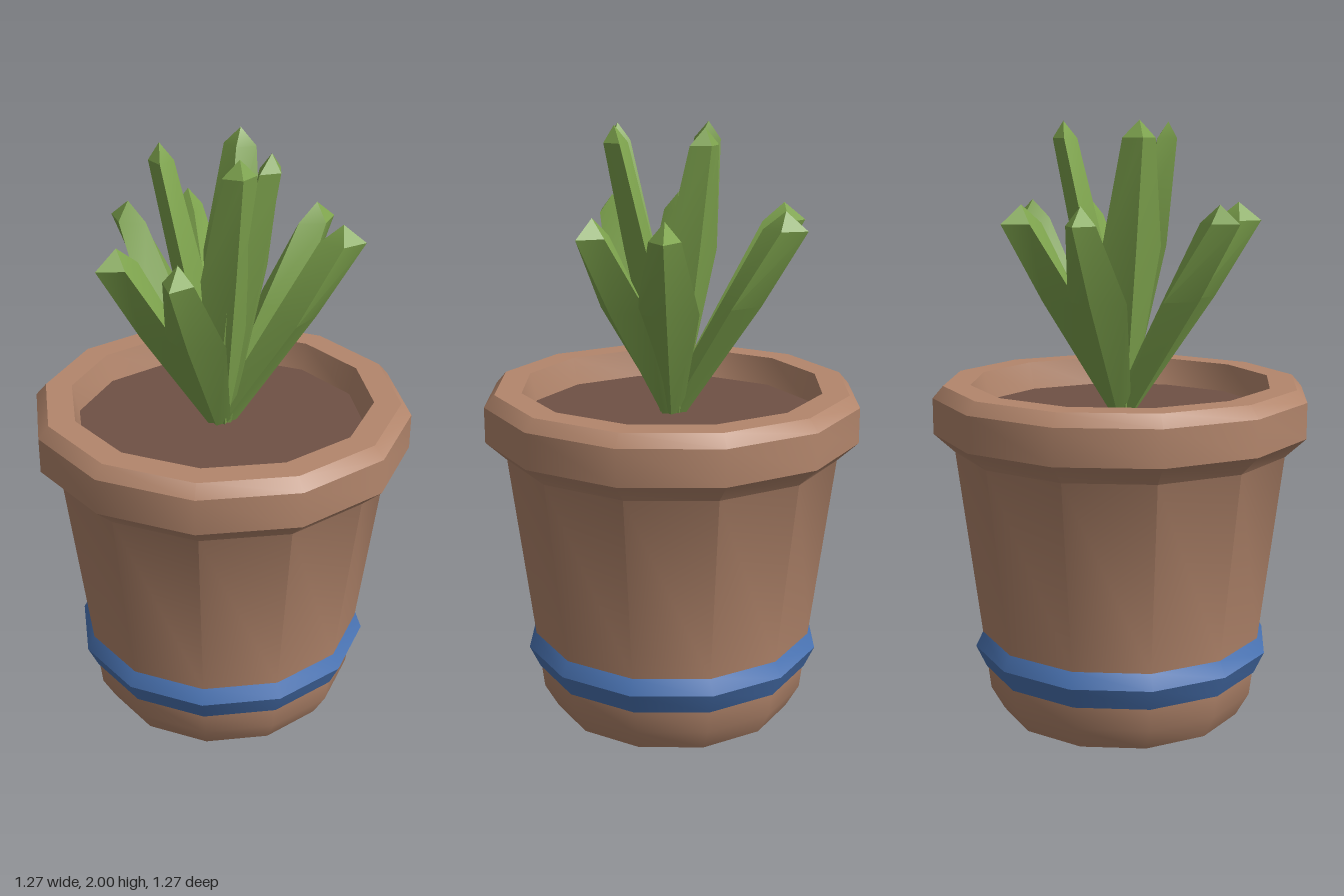
import * as THREE from 'three';
import { toCreasedNormals } from 'three/addons/utils/BufferGeometryUtils.js';

const material = (name, color) => new THREE.MeshStandardMaterial({ name, color });

// Twelve-sided turned part from a profile of [radius, height] pairs
function turned(name, profile, mat) {
  const points = profile.map(([r, y]) => new THREE.Vector2(r, y));
  const geometry = toCreasedNormals(new THREE.LatheGeometry(points, 12), 0.7);
  const mesh = new THREE.Mesh(geometry, mat);
  mesh.name = name;
  return mesh;
}

// Four-sided leaf: rings from tip to base, [distance out, height, half depth, half width]
function leaf(name, rings, degrees, mat) {
  const geometry = new THREE.CylinderGeometry(1, 1, 1, 4, rings.length - 1, true);
  const pos = geometry.attributes.position;
  for (let i = 0; i < pos.count; i++) {
    const [out, y, depth, width] = rings[Math.floor(i / 5)];
    const t = (i % 5) * Math.PI / 2;
    pos.setXYZ(i, out + Math.sin(t) * depth, y, Math.cos(t) * width);
  }
  const mesh = new THREE.Mesh(toCreasedNormals(geometry, 0.5), mat);
  mesh.name = name;
  mesh.rotation.y = -THREE.MathUtils.degToRad(degrees);
  return mesh;
}

export function createModel() {
  const model = new THREE.Group();
  model.name = 'pottedPlant';
  const clay = material('clay', 0xb3866c);
  const earth = material('earth', 0x6f5145);
  const blue = material('blueGlaze', 0x4a74b4);
  const green = material('leafGreen', 0x7fa54e);

  // Pot: base, wall, rim and inner wall in one profile
  model.add(turned('pot', [
    [0, 0], [0.415, 0], [0.46, 0.08], [0.47, 0.16], [0.485, 0.285], [0.565, 0.92],
    [0.635, 0.985], [0.635, 1.105], [0.6, 1.145], [0.51, 1.145], [0.485, 1.04],
  ], clay));

  // Raised band around the foot
  model.add(turned('band', [[0.465, 0.16], [0.475, 0.16], [0.51, 0.235], [0.485, 0.285], [0.475, 0.285]], blue));

  // Soil
  model.add(turned('soil', [[0.49, 1.05], [0, 1.05]], earth));

  // Leaves: a tall inner set and a leaning outer set
  const inner = [[0.19, 2, 0, 0], [0.185, 1.945, 0.04, 0.055], [0.11, 1.6, 0.05, 0.1], [0, 1.04, 0.04, 0.035]];
  const outer = [[0.385, 1.74, 0, 0], [0.385, 1.68, 0.075, 0.05], [0.24, 1.43, 0.07, 0.1], [0, 1.04, 0.045, 0.035]];
  const leaves = new THREE.Group();
  leaves.name = 'leaves';
  for (const a of [0, 36, 144, 252]) leaves.add(leaf('innerLeaf', inner, a, green));
  for (const a of [72, 108, 180, 216, 288, 324]) leaves.add(leaf('outerLeaf', outer, a, green));
  model.add(leaves);
  return model;
}
